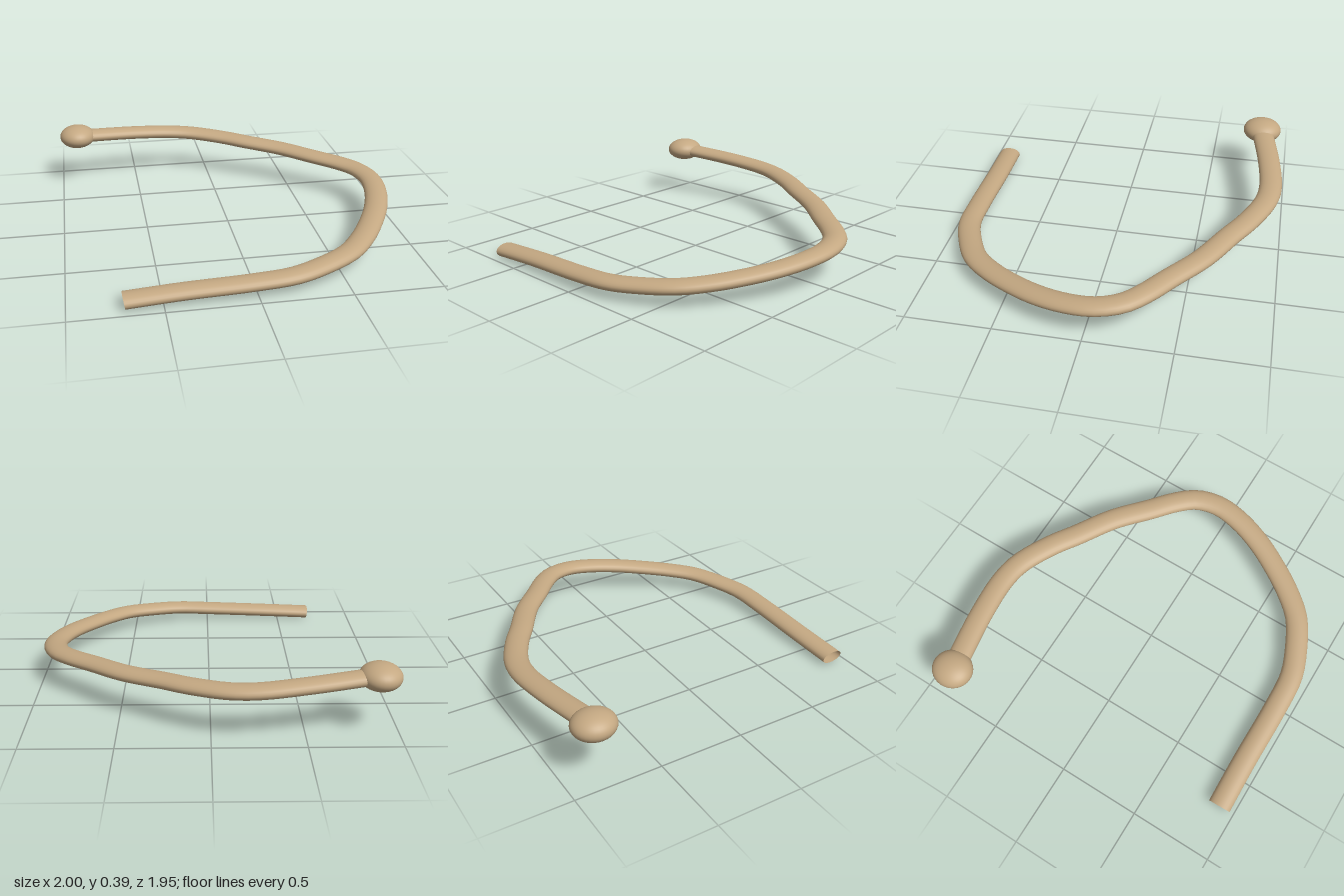
import * as THREE from 'three';

const FLATTEN = 0.57; // height-to-width ratio of the cross-section

export function createModel() {
  const model = new THREE.Group();
  model.name = 'curvedRod';
  const material = new THREE.MeshStandardMaterial({ color: 0xc4a882, side: THREE.DoubleSide });

  // Centreline of the rod, from the knob round the bend to the open tip
  const path = [
    [-0.83, 0.32, -0.83], [-0.5, 0.3, -0.89], [-0.25, 0.282, -0.912], [-0.1, 0.272, -0.89],
    [0.11, 0.259, -0.795], [0.245, 0.25, -0.71], [0.47, 0.235, -0.575], [0.655, 0.222, -0.42],
    [0.8, 0.212, -0.3], [0.885, 0.204, -0.2], [0.927, 0.193, -0.06], [0.912, 0.177, 0.1],
    [0.855, 0.157, 0.275], [0.77, 0.138, 0.44], [0.665, 0.121, 0.6], [0.545, 0.108, 0.73],
    [0.36, 0.093, 0.83], [0.2, 0.083, 0.885], [-0.02, 0.072, 0.898], [-0.4, 0.057, 0.898],
    [-0.705, 0.041, 0.905],
  ].map(([x, y, z]) => new THREE.Vector3(x, y / FLATTEN, z));
  const curve = new THREE.CatmullRomCurve3(path);

  // Round tube squashed in height to an oval section
  const rodGeometry = new THREE.TubeGeometry(curve, 80, 0.069, 24, false);
  rodGeometry.scale(1, FLATTEN, 1);
  const rod = new THREE.Mesh(rodGeometry, material);
  rod.name = 'rod';
  model.add(rod);

  // Flattened knob on the upper end
  const knobGeometry = new THREE.SphereGeometry(1, 32, 24);
  knobGeometry.scale(0.115, 0.073, 0.123);
  const knob = new THREE.Mesh(knobGeometry, material);
  knob.name = 'knob';
  knob.position.set(-0.885, 0.322, -0.823);
  model.add(knob);

  return model;
}
